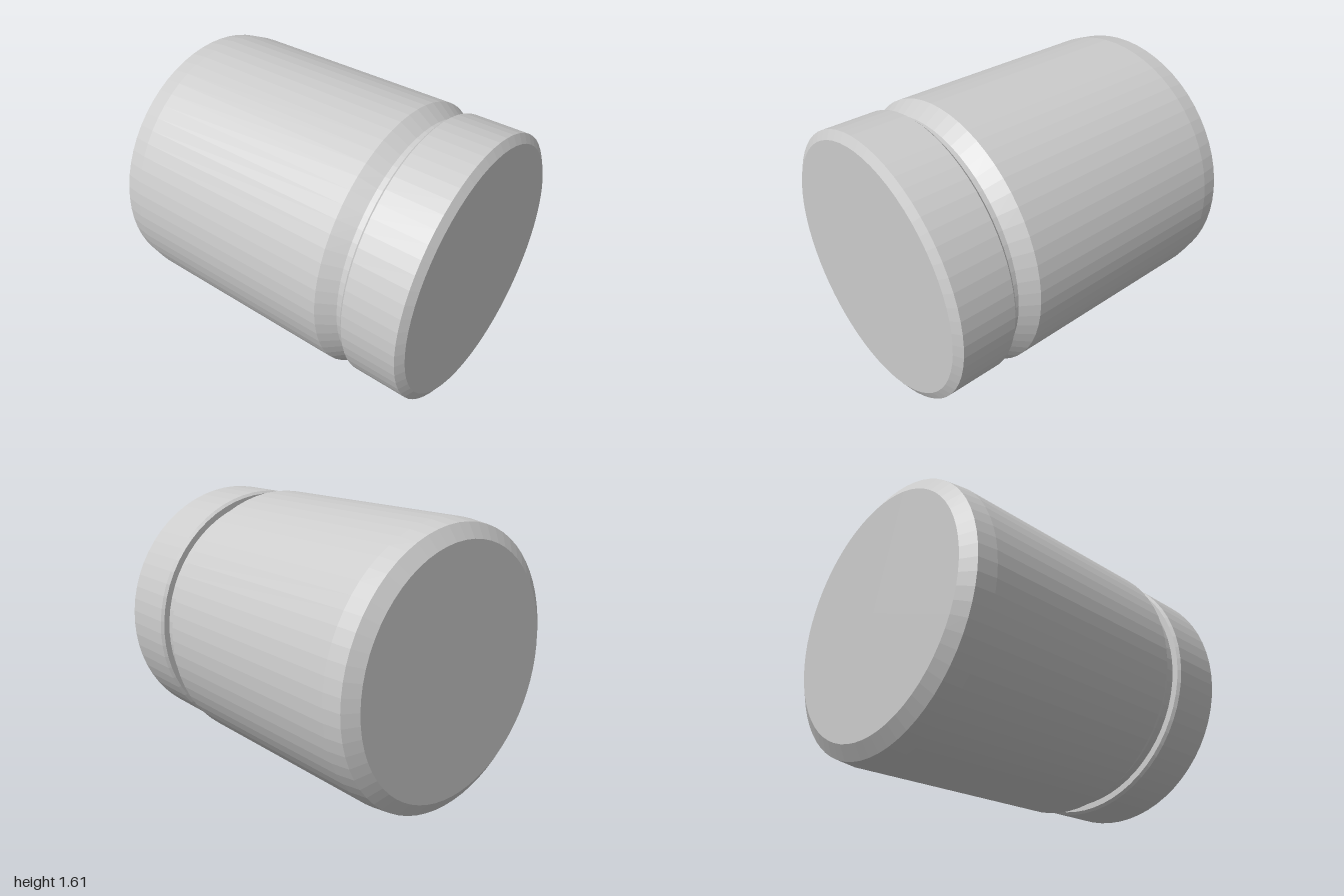
import * as THREE from 'three';

const SIDES = 64;
const RADIUS = 0.805;

// Revolves [radius, z] pairs, listed from back to front, around the z axis
function turned(name, profile, material) {
  const points = profile.map(([r, z]) => new THREE.Vector2(r, z));
  const geometry = new THREE.LatheGeometry(points, SIDES);
  geometry.rotateX(Math.PI / 2);
  const mesh = new THREE.Mesh(geometry, material);
  mesh.name = name;
  mesh.position.y = RADIUS;
  return mesh;
}

export function createModel() {
  const group = new THREE.Group();
  group.name = 'groovedCylinder';
  const material = new THREE.MeshStandardMaterial({ color: 0xcccccc, flatShading: true });

  // Long barrel with a closed, bevelled back end
  group.add(turned('barrel', [
    [0, -1], [0.71, -1], [0.79, -0.95], [RADIUS, -0.84], [RADIUS, 0.485],
  ], material));

  // Narrow neck: sloped shoulder, groove floor and step up to the head
  group.add(turned('neckGroove', [
    [RADIUS, 0.485], [0.74, 0.58], [0.74, 0.63], [0.775, 0.63], [0.79, 0.645],
  ], material));

  // Short head with a bevelled, closed front face
  group.add(turned('head', [
    [0.79, 0.645], [0.79, 0.97], [0.74, 1], [0, 1],
  ], material));

  return group;
}
